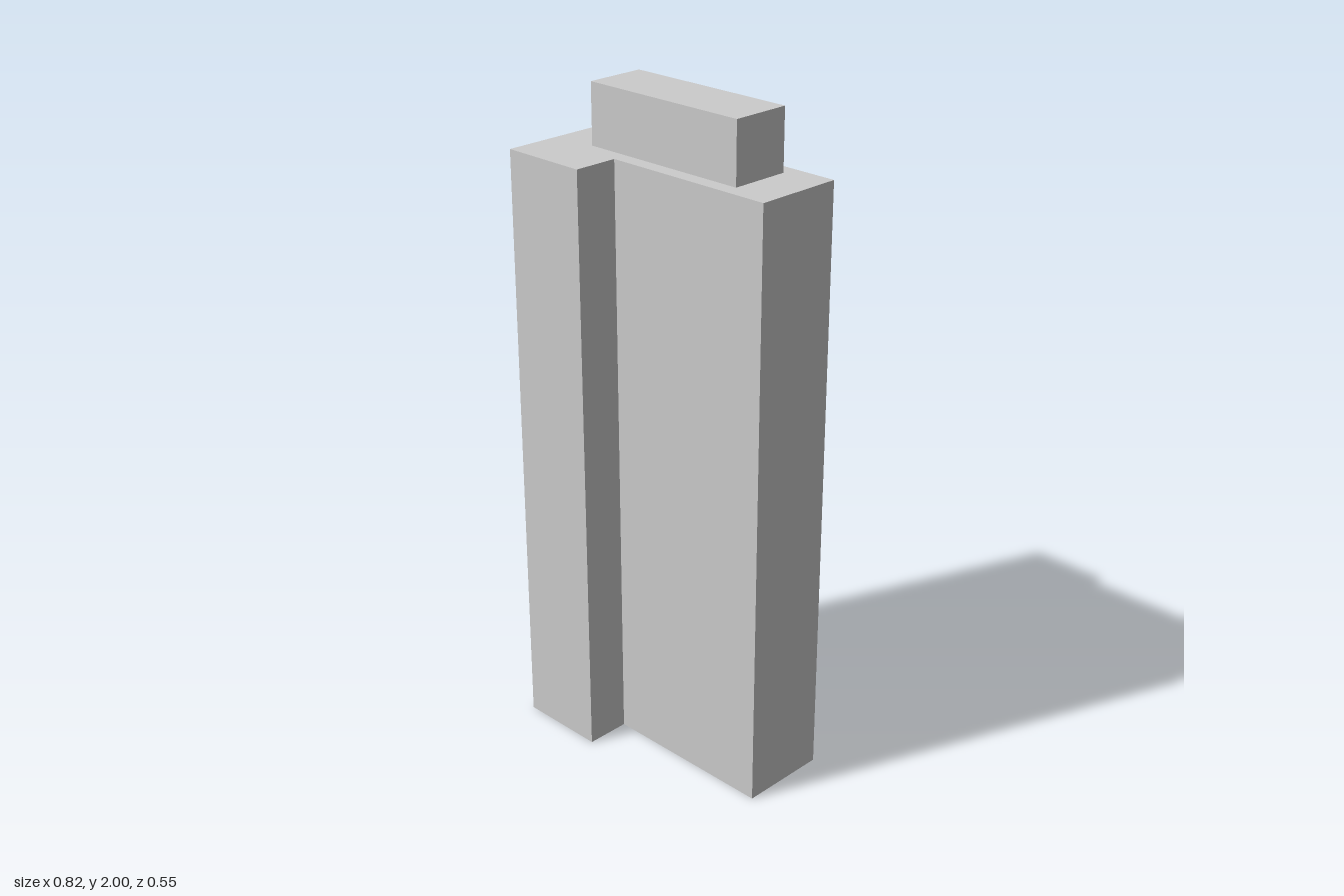
import * as THREE from 'three';

const FLOOR = 0.0182; // storey height
const BAY = 0.136; // width of one facade bay
const PER_BAY = 10; // windows across a bay
const PROUD = 0.0006; // how far the panes stand off the wall

const material = new THREE.MeshStandardMaterial({ color: 0xcccccc, flatShading: true });

// Solid block raised from a footprint of [x, z] corners
function block(name, plan, y0, y1) {
  const shape = new THREE.Shape(plan.map(([x, z]) => new THREE.Vector2(x, -z)));
  const geo = new THREE.ExtrudeGeometry(shape, { depth: y1 - y0, bevelEnabled: false });
  geo.rotateX(-Math.PI / 2).translate(0, y0, 0);
  const mesh = new THREE.Mesh(geo, material);
  mesh.name = name;
  return mesh;
}

// Rows of window panes along every wall of a footprint, merged in one geometry
function windows(name, plan, y0, y1) {
  const pos = [];
  const floors = Math.round((y1 - y0) / FLOOR);
  const h = (y1 - y0) / floors;
  plan.forEach(([ax, az], i) => {
    const [bx, bz] = plan[(i + 1) % plan.length];
    const length = Math.hypot(bx - ax, bz - az);
    const dx = (bx - ax) / length, dz = (bz - az) / length;
    const bays = Math.max(1, Math.round(length / BAY));
    const bay = length / bays;
    const seam = bay * 0.02;
    const pitch = (bay - 2 * seam) / PER_BAY;
    const point = (s, y) => [ax + dx * s - dz * PROUD, y, az + dz * s + dx * PROUD];
    for (let f = 0; f < floors; f++) {
      const low = y0 + (f + 0.2) * h, high = y0 + (f + 0.8) * h;
      for (let w = 0; w < bays * PER_BAY; w++) {
        const s = Math.floor(w / PER_BAY) * bay + seam + (w % PER_BAY) * pitch;
        const s0 = s + pitch * 0.12, s1 = s + pitch * 0.88;
        const a = point(s0, low), b = point(s1, low), c = point(s1, high), d = point(s0, high);
        pos.push(...a, ...b, ...c, ...a, ...c, ...d);
      }
    }
  });
  const geo = new THREE.BufferGeometry();
  geo.setAttribute('position', new THREE.Float32BufferAttribute(pos, 3));
  geo.computeVertexNormals();
  const mesh = new THREE.Mesh(geo, material);
  mesh.name = name;
  return mesh;
}

export function createModel() {
  const model = new THREE.Group();
  model.name = 'towerBlock';

  // T-shaped main tower: cross wing on -x, long wing towards +x
  const tower = [
    [-0.408, 0.272], [-0.136, 0.272], [-0.136, 0.136], [0.408, 0.136],
    [0.408, -0.136], [-0.136, -0.136], [-0.136, -0.272], [-0.408, -0.272],
  ];
  // Narrow plant room on the roof
  const plantRoom = [[-0.272, 0.091], [0.272, 0.091], [0.272, -0.091], [-0.272, -0.091]];

  model.add(
    block('tower', tower, 0, 1.82),
    windows('towerWindows', tower, 0, 1.82),
    block('plantRoom', plantRoom, 1.82, 2),
    windows('plantRoomWindows', plantRoom, 1.82, 2),
  );
  return model;
}
